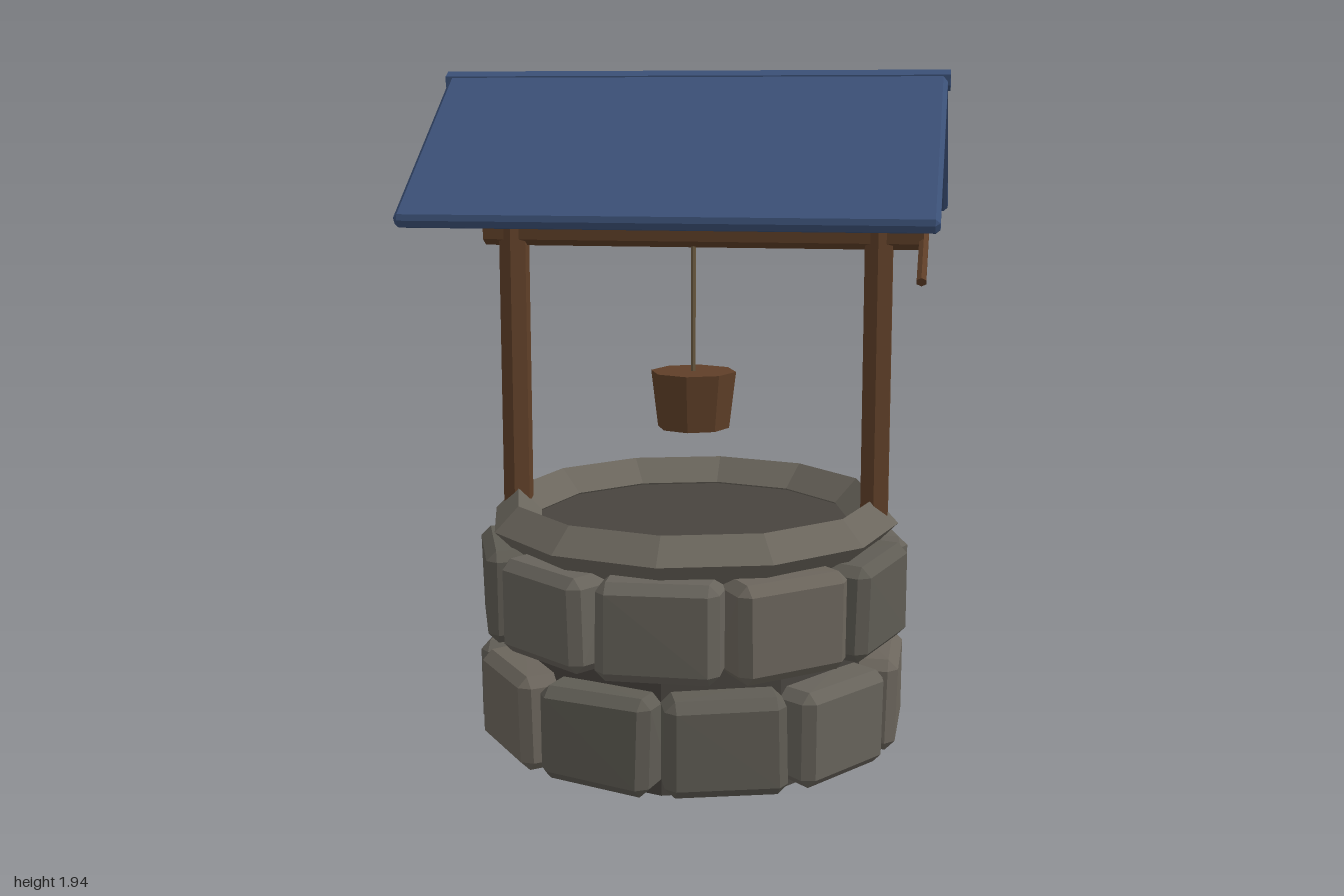
import * as THREE from 'three';
import { ConvexGeometry } from 'three/addons/geometries/ConvexGeometry.js';

const mat = (color) => new THREE.MeshStandardMaterial({ color, flatShading: true });
const wood = mat(0x5f3f28);
const darkStone = mat(0x48443f);
const rimStone = mat(0x6b665d);
const stones = [0x67635b, 0x5f5c54, 0x6b655c].map(mat);
const roofBlue = mat(0x3c5178);
const ropeTan = mat(0x6b5a40);

// Small seeded generator, returns -1..1
let seed = 7;
const wobble = () => {
  seed = (seed * 16807) % 2147483647;
  return (seed / 2147483647) * 2 - 1;
};

function add(parent, name, geometry, material, x = 0, y = 0, z = 0) {
  const mesh = new THREE.Mesh(geometry, material);
  mesh.name = name;
  mesh.position.set(x, y, z);
  parent.add(mesh);
  return mesh;
}

// Box with chamfered edges, optionally with uneven corners
function chamferBox(w, h, d, bevel, uneven = 0) {
  const points = [];
  for (const sx of [-1, 1]) for (const sy of [-1, 1]) for (const sz of [-1, 1]) {
    const corner = new THREE.Vector3(
      sx * w / 2 + wobble() * uneven,
      sy * h / 2 + wobble() * uneven,
      sz * d / 2 + wobble() * uneven
    );
    for (let axis = 0; axis < 3; axis++) {
      const cut = new THREE.Vector3(sx, sy, sz).multiplyScalar(bevel);
      cut.setComponent(axis, 0);
      points.push(corner.clone().sub(cut));
    }
  }
  return new ConvexGeometry(points);
}

export function createModel() {
  seed = 7;
  const well = new THREE.Group();
  well.name = 'well';

  // Solid core behind the stones
  add(well, 'core', new THREE.CylinderGeometry(0.53, 0.53, 0.65, 10), darkStone, 0, 0.385);

  // Two staggered courses of ten stones
  const courses = new THREE.Group();
  courses.name = 'stoneCourses';
  well.add(courses);
  [[0.216, 0.5], [0.533, 0]].forEach(([y, offset]) => {
    for (let i = 0; i < 10; i++) {
      const a = ((i + offset) / 10) * Math.PI * 2;
      const r = 0.525 + wobble() * 0.004;
      const stone = add(courses, 'stone', chamferBox(0.335, 0.27, 0.17, 0.028, 0.005),
        stones[(i * 2 + (offset ? 1 : 0)) % 3], Math.sin(a) * r, y, Math.cos(a) * r);
      stone.rotation.y = a + wobble() * 0.03;
    }
  });

  // Faceted rim
  const rim = add(well, 'rim', new THREE.TorusGeometry(0.53, 0.07, 4, 12), rimStone, 0, 0.715);
  rim.rotation.x = Math.PI / 2;

  // Posts
  for (const side of [-1, 1]) {
    add(well, side > 0 ? 'leftPost' : 'rightPost',
      new THREE.CylinderGeometry(0.045, 0.045, 1.2, 6), wood, side * 0.53, 1.305);
  }

  // Winding bar with its crank
  const barGeometry = new THREE.CylinderGeometry(0.037, 0.037, 1.27, 6);
  barGeometry.rotateY(Math.PI / 2).rotateZ(Math.PI / 2);
  add(well, 'windingBar', barGeometry, wood, 0.02, 1.54);
  const crank = add(well, 'crank', new THREE.CylinderGeometry(0.015, 0.015, 0.2, 6), wood, 0.655, 1.487, 0.078);
  crank.rotation.x = -Math.atan2(0.16, 0.115);

  // Rope and bucket
  add(well, 'rope', new THREE.CylinderGeometry(0.007, 0.007, 0.42, 6), ropeTan, 0, 1.33);
  add(well, 'bucket', new THREE.CylinderGeometry(0.125, 0.105, 0.165, 8), wood, 0, 1.0625);

  // Roof slabs and ridge
  const slope = Math.atan2(0.37, 0.525);
  for (const side of [-1, 1]) {
    const slab = add(well, side > 0 ? 'frontRoof' : 'backRoof',
      chamferBox(1.42, 0.045, 0.655, 0.012), roofBlue, 0, 1.785, side * 0.265);
    slab.rotation.x = side * slope;
  }
  const ridge = add(well, 'roofRidge', new THREE.CylinderGeometry(0.029, 0.029, 1.435, 6), roofBlue, 0, 1.971);
  ridge.geometry.rotateY(Math.PI / 2).rotateZ(Math.PI / 2);

  return well;
}
